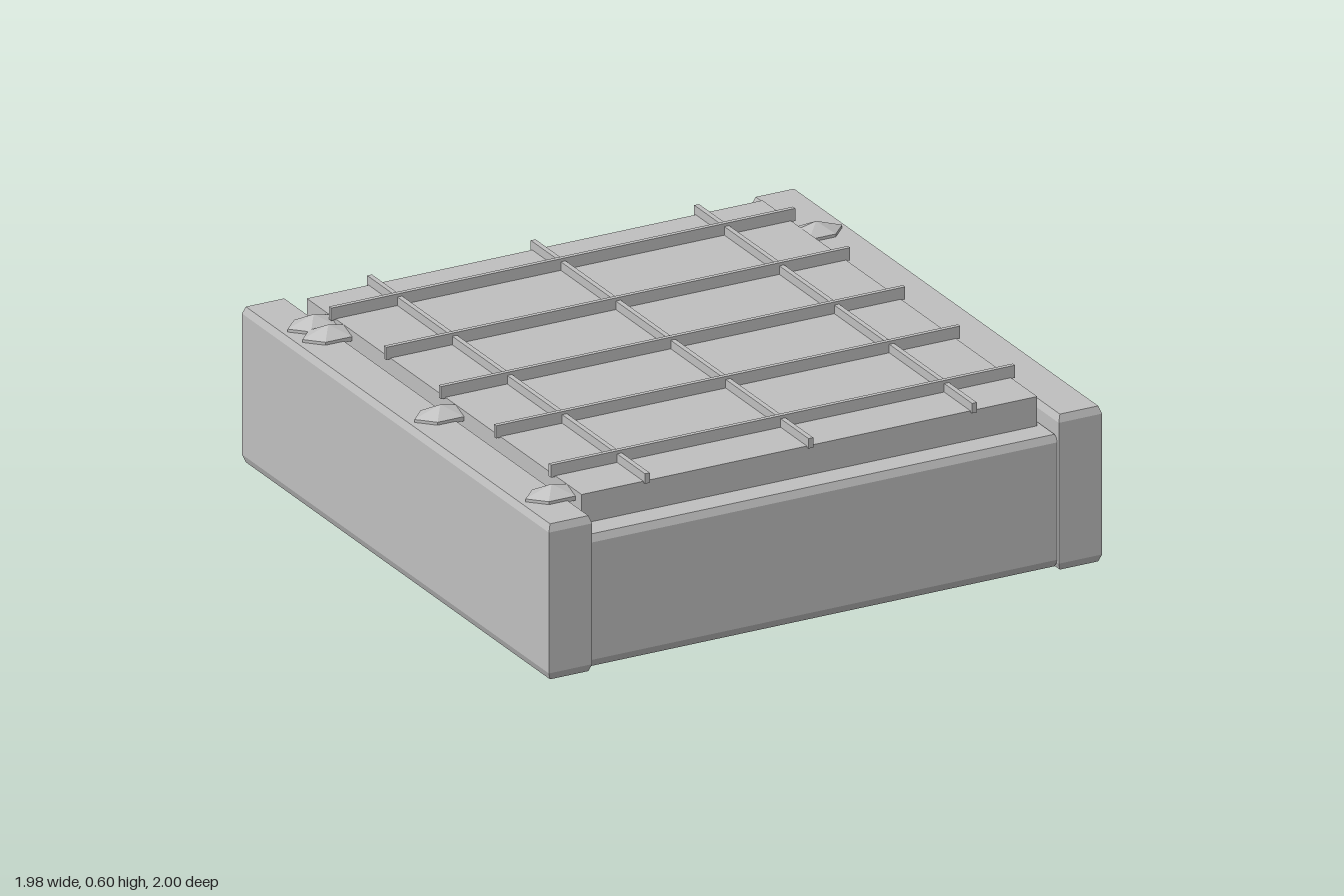
import * as THREE from 'three';
import { ConvexGeometry } from 'three/addons/geometries/ConvexGeometry.js';

const grey = new THREE.MeshStandardMaterial({ color: 0xc0c0c0 });
grey.name = 'plain grey';

function add(parent, name, geometry, x = 0, y = 0, z = 0) {
  const mesh = new THREE.Mesh(geometry, grey);
  mesh.name = name;
  mesh.position.set(x, y, z);
  parent.add(mesh);
  return mesh;
}

// Box standing on y = 0 whose top and bottom edges are chamfered by inset and drop
function chamferedBox(w, h, d, inset, drop) {
  const points = [];
  for (const [y, s] of [[0, inset], [drop, 0], [h - drop, 0], [h, inset]])
    for (const sx of [-1, 1])
      for (const sz of [-1, 1])
        points.push(new THREE.Vector3(sx * (w / 2 - s), y, sz * (d / 2 - s)));
  return new ConvexGeometry(points);
}

// Pointed clip: a five-sided rim rising to a low peak, its tip towards +x
function clipGeometry() {
  const rim = [[-0.055, -0.055], [0.04, -0.055], [0.093, 0], [0.04, 0.055], [-0.055, 0.055]];
  const points = [new THREE.Vector3(0, 0.047, 0), new THREE.Vector3(-0.055, 0.035, 0)];
  for (const [x, z] of rim)
    for (const y of [0, 0.015]) points.push(new THREE.Vector3(x, y, z));
  return new ConvexGeometry(points);
}

export function createModel() {
  const model = new THREE.Group();
  model.name = 'crate';

  // Body between two taller side rails
  add(model, 'body', chamferedBox(1.68, 0.45, 1.98, 0.01, 0.025), 0, 0.01, 0);
  const rail = chamferedBox(0.155, 0.53, 2, 0.009, 0.025);
  add(model, 'leftRail', rail, 0.912, 0, 0);
  add(model, 'rightRail', rail, -0.912, 0, 0);

  // Raised lid panel
  add(model, 'lid', new THREE.BoxGeometry(1.63, 0.11, 1.79), 0, 0.505, 0);

  // Grid of bars over the lid
  const grid = new THREE.Group();
  grid.name = 'lidGrid';
  model.add(grid);
  const longBar = new THREE.BoxGeometry(0.017, 0.034, 1.81);
  for (const x of [-0.585, 0, 0.585]) add(grid, 'longBar', longBar, x, 0.572, 0);
  const crossBar = new THREE.BoxGeometry(1.66, 0.043, 0.015);
  for (let i = -2; i <= 2; i++) add(grid, 'crossBar', crossBar, 0, 0.578, i * 0.358);

  // Clips on the rails
  const clip = clipGeometry();
  for (const z of [-0.75, -0.655, 0.075, 0.8])
    add(model, 'rightClip', clip, -0.87, 0.525, z).rotation.y = Math.PI;
  add(model, 'leftClip', clip, 0.87, 0.525, -0.645);

  return model;
}
